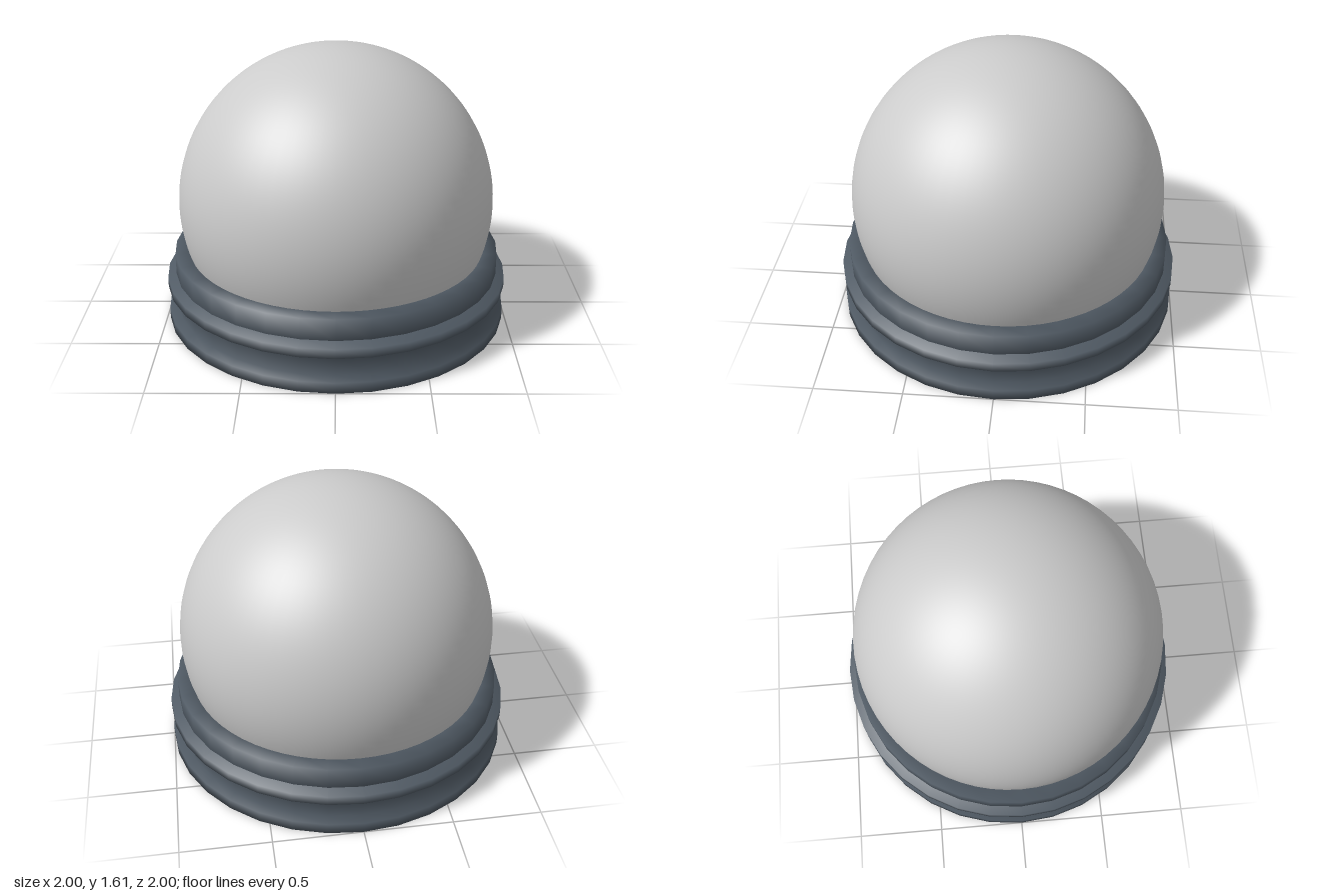
import * as THREE from 'three';

export function createModel() {
  const group = new THREE.Group();
  group.name = 'domeOnBase';

  // Smooth globe, cut off just below the collar rim
  const radius = 0.91, centerY = 0.695, cutY = 0.36;
  const globe = new THREE.Mesh(
    new THREE.SphereGeometry(radius, 64, 40, 0, Math.PI * 2, 0, Math.acos((cutY - centerY) / radius)),
    new THREE.MeshStandardMaterial({ color: 0xcccccc, side: THREE.DoubleSide })
  );
  globe.name = 'globe';
  globe.position.y = centerY;
  group.add(globe);

  // Turned base: foot ring, waist, middle ring, groove and collar
  const profile = [
    [0, 0], [1, 0], [1, 0.062], [0.95, 0.078],
    [0.95, 0.2], [1, 0.208], [1, 0.262], [0.91, 0.266],
    [0.95, 0.285], [0.95, 0.408], [0.85, 0.408], [0.85, 0.36],
  ].map(([r, y]) => new THREE.Vector2(r, y));
  const base = new THREE.Mesh(
    new THREE.LatheGeometry(profile, 32),
    new THREE.MeshStandardMaterial({ color: 0x505a64 })
  );
  base.name = 'base';
  group.add(base);

  return group;
}
